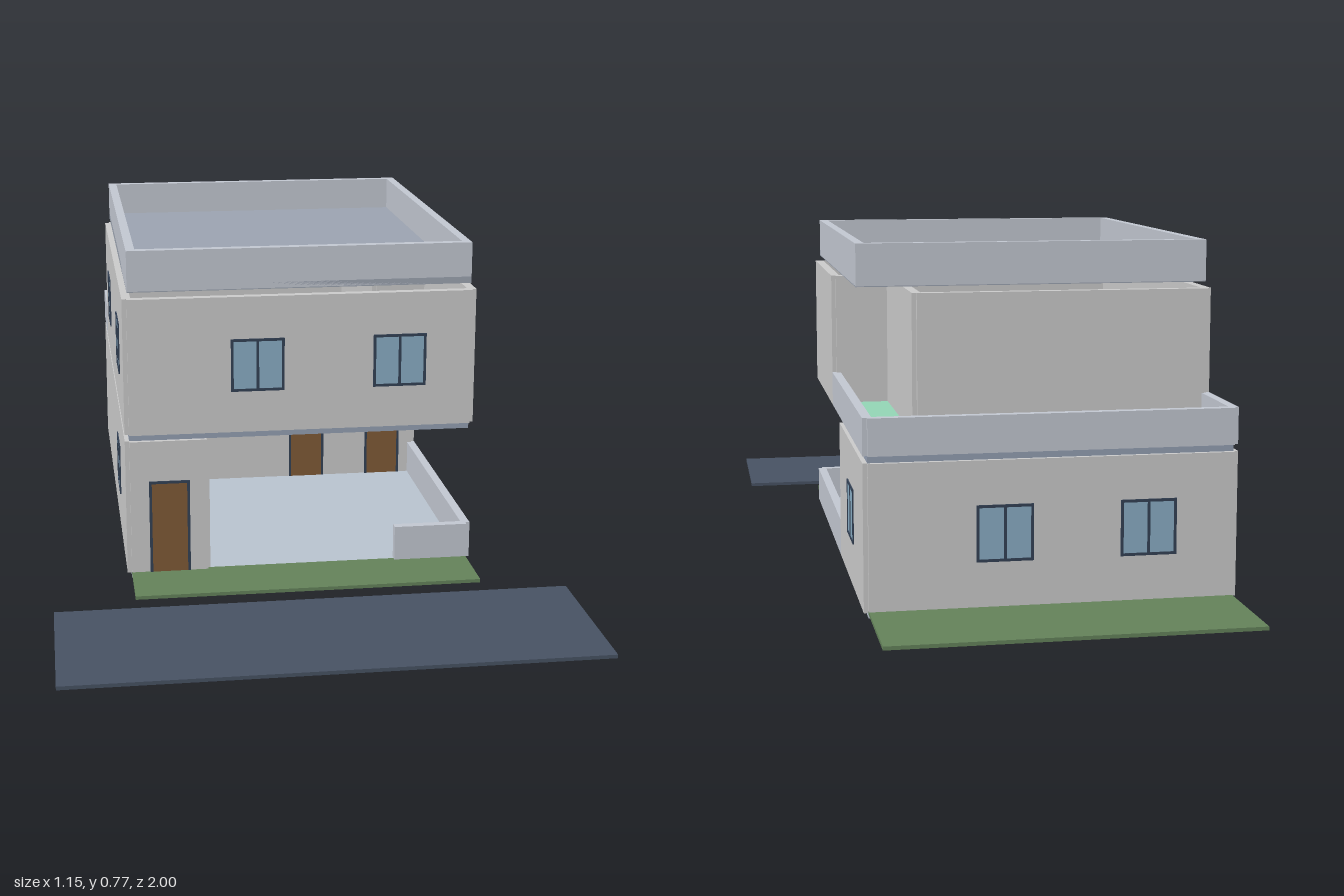
import * as THREE from 'three';

const mat = (color) => new THREE.MeshStandardMaterial({ color });

export function createModel() {
  const house = new THREE.Group();
  house.name = 'house';
  const M = {
    wall: mat(0xcccccc), parapet: mat(0xc3c8d2), floor: mat(0xb9c4d0), slab: mat(0x94a0b3),
    roof: mat(0x9ca4b1), terrace: mat(0x94d6b6), lawn: mat(0x64825a), road: mat(0x475263),
    frame: mat(0x334155), glass: mat(0x8aaec5), door: mat(0x7f5a37),
  };

  // Box given by its minimum and maximum corners
  function box(name, m, x0, x1, y0, y1, z0, z1, parent = house) {
    const mesh = new THREE.Mesh(new THREE.BoxGeometry(x1 - x0, y1 - y0, z1 - z0), m);
    mesh.position.set((x0 + x1) / 2, (y0 + y1) / 2, (z0 + z1) / 2);
    mesh.name = name;
    parent.add(mesh);
    return mesh;
  }

  // Upright wall panel centred on the line from (xa, za) to (xb, zb)
  function wall(name, m, xa, za, xb, zb, y0, y1, t = 0.02) {
    const alongX = za === zb, h = t / 2;
    const x = [Math.min(xa, xb), Math.max(xa, xb)], z = [Math.min(za, zb), Math.max(za, zb)];
    if (alongX) box(name, m, x[0], x[1], y0, y1, za - h, za + h);
    else box(name, m, xa - h, xa + h, y0, y1, z[0], z[1]);
  }

  // Run of wall panels through a list of corners
  function walls(name, m, points, y0, y1) {
    for (let i = 0; i + 1 < points.length; i++) wall(name, m, ...points[i], ...points[i + 1], y0, y1);
  }

  // Framed opening with one or two leaves, set through a wall; turned for side walls
  function opening(name, leafMat, leaves, w, h, x, y, z, side = false) {
    const g = new THREE.Group();
    g.name = name;
    const d = 0.013, f = 0.006;
    for (const s of [-1, 1]) {
      const c = s * (w - f) / 2;
      box('frameSide', M.frame, c - f / 2, c + f / 2, 0, h, -d, d, g);
    }
    box('frameTop', M.frame, -w / 2 + f, w / 2 - f, h - f, h, -d, d, g);
    if (leaves === 2) {
      box('frameSill', M.frame, -w / 2 + f, w / 2 - f, 0, f, -d, d, g);
      box('mullion', M.frame, -0.003, 0.003, f, h - f, -d, d, g);
    }
    box('leaf', leafMat, -w / 2 + f, w / 2 - f, leaves === 2 ? f : 0, h - f, -0.0115, 0.0115, g);
    g.position.set(x, y, z);
    if (side) g.rotation.y = Math.PI / 2;
    house.add(g);
  }

  const X = 0.393, F = 0.405, B = -0.745; // wall centre lines: sides, front, back
  const carportX = -0.217, carportZ = -0.235, insetX = 0.26, insetZ = -0.065, upperB = -0.53;

  // Site
  box('road', M.road, -0.575, 0.575, 0.008, 0.016, 0.625, 1);
  box('frontLawn', M.lawn, -X, X, 0.008, 0.016, F, 0.56);
  box('backLawn', M.lawn, -X, X, 0.008, 0.016, -1, B);

  // Ground floor with the open carport at the front left
  box('groundSlab', M.floor, -X, X, 0, 0.016, B, F);
  walls('groundWall', M.wall, [
    [carportX, F], [-X, F], [-X, B], [X, B], [X, carportZ], [-X, carportZ],
  ], 0.012, 0.33);
  wall('carportWall', M.wall, carportX, F, carportX, carportZ, 0.012, 0.33, 0.012);
  walls('lowWall', M.parapet, [[0.222, F], [X, F], [X, carportZ]], 0.012, 0.097);

  // Upper floor, set back on one side behind the front rooms
  box('upperSlab', M.slab, -X, X, 0.33, 0.345, B, F);
  walls('upperWall', M.wall, [
    [-X, F], [X, F], [X, insetZ], [insetX, insetZ], [insetX, upperB], [-X, upperB], [-X, F],
  ], 0.345, 0.66);

  // Terrace around the set-back part
  box('terraceFloor', M.terrace, -X, X, 0.345, 0.352, B, upperB);
  box('terraceSideFloor', M.terrace, insetX, X, 0.345, 0.352, upperB, insetZ);
  walls('terraceParapet', M.parapet, [[X, insetZ], [X, B], [-X, B], [-X, upperB]], 0.345, 0.425);

  // Flat roof tray with its rim, raised slightly above the walls
  box('roofSlab', M.roof, -0.391, 0.391, 0.674, 0.689, -0.529, 0.404);
  walls('roofParapet', M.parapet, [
    [-0.381, 0.394], [0.381, 0.394], [0.381, -0.52], [-0.381, -0.52], [-0.381, 0.394],
  ], 0.676, 0.768);
  for (const x of [-1, 1]) for (const z of [0.394, -0.52])
    box('roofCorner', M.parapet, x * 0.381 - 0.01, x * 0.381 + 0.01, 0.676, 0.768, z - 0.01, z + 0.01);

  // Windows
  const win = (x, y, z, side) => opening('window', M.glass, 2, 0.122, 0.122, x, y, z, side);
  const low = 0.113, high = 0.441;
  for (const x of [-0.1, 0.226]) win(x, high, F);
  for (const x of [-0.205, 0.105]) win(x, low, B);
  for (const z of [-0.3, 0.17]) win(-X, high, z, true);
  win(-X, low, 0.08, true);
  win(X, low, -0.49, true);

  // Doors
  const door = (x, z) => opening('door', M.door, 1, 0.093, 0.22, x, 0.015, z);
  door(-0.304, F);
  for (const x of [-0.206, 0.107, 0.312]) door(x, carportZ);

  return house;
}
